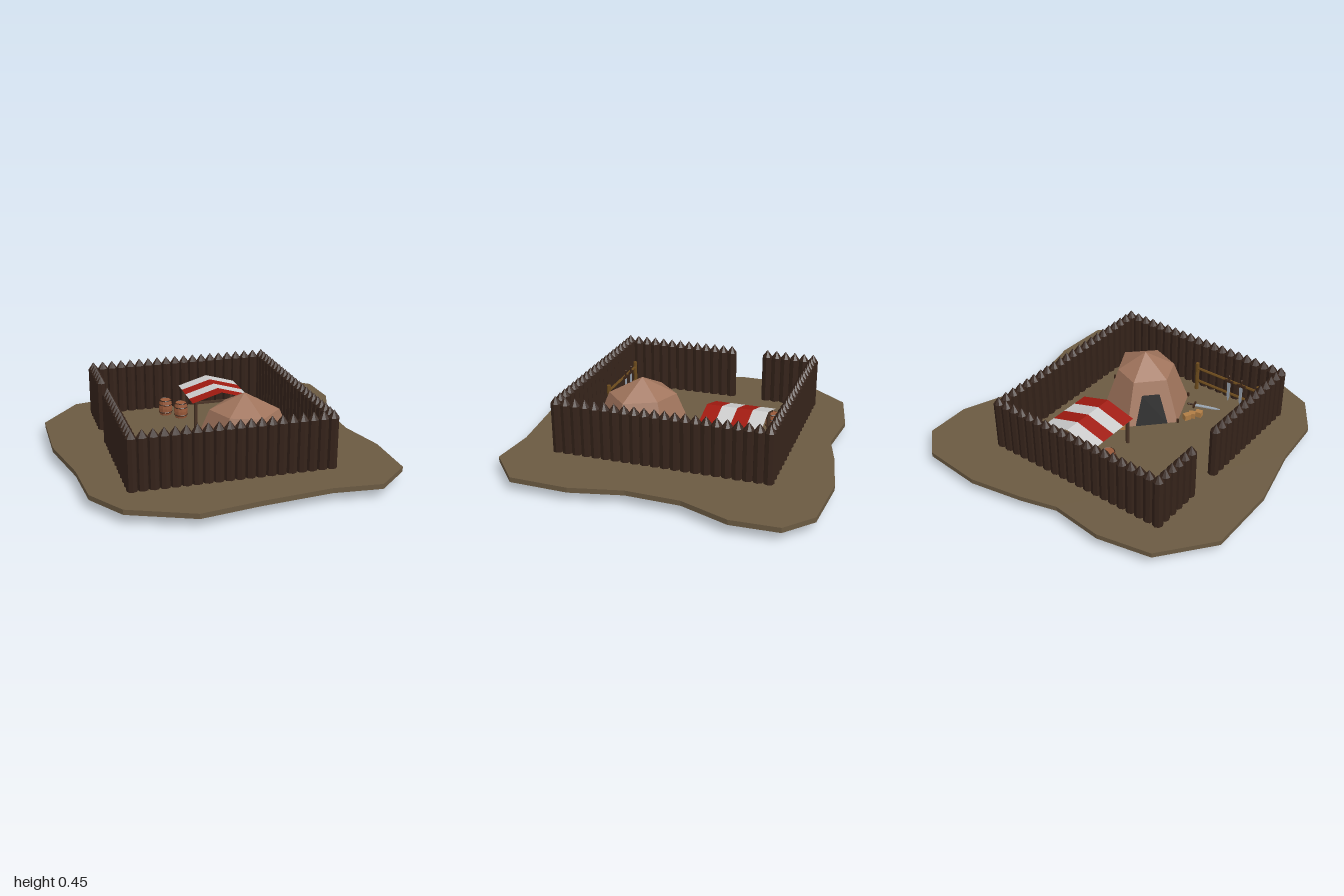
import * as THREE from 'three';

const mat = (color, side = THREE.FrontSide) => new THREE.MeshStandardMaterial({ color, side, flatShading: true });
const BARK = mat(0x35231a), EARTH = mat(0x6b5a42), HIDE = mat(0xa0745c, THREE.DoubleSide), DARK = mat(0x0a0a0a, THREE.DoubleSide);
const RED = mat(0xa01a10, THREE.DoubleSide), WHITE = mat(0xcccccc, THREE.DoubleSide), POLE = mat(0x4a3426);
const RACK = mat(0x6b4a1c), STEEL = mat(0x9aa4b0), CASK = mat(0x9a5a3a), HOOP = mat(0x3a2417), LOG = mat(0xb07d45);
const GROUND = 0.085;

function add(parent, name, geo, material, x = 0, y = 0, z = 0) {
  const m = new THREE.Mesh(geo, material);
  m.name = name;
  m.position.set(x, y, z);
  parent.add(m);
  return m;
}

function group(parent, name, x = 0, y = 0, z = 0, turn = 0) {
  const g = new THREE.Group();
  g.name = name;
  g.position.set(x, y, z);
  g.rotation.y = turn;
  parent.add(g);
  return g;
}

// Flat polygons, each a list of Vector3 corners, fanned into triangles
function polygons(list) {
  const pts = [];
  for (const p of list) for (let i = 1; i < p.length - 1; i++) pts.push(p[0], p[i], p[i + 1]);
  const geo = new THREE.BufferGeometry().setFromPoints(pts);
  geo.computeVertexNormals();
  return geo;
}

// Irregular slab of earth
function buildGround(parent) {
  const outline = [[-0.98, -0.55], [-0.74, -0.85], [-0.42, -0.915], [-0.105, -0.88], [0.115, -0.94], [0.44, -1], [0.81, -0.97],
    [0.97, -0.825], [0.98, -0.545], [0.87, -0.255], [0.86, 0.07], [0.93, 0.38], [0.92, 0.735], [0.71, 0.92], [0.42, 0.895],
    [-0.005, 0.94], [-0.355, 0.995], [-0.725, 0.84], [-0.87, 0.615], [-0.895, 0.29], [-0.98, -0.105]];
  const shape = new THREE.Shape(outline.map(([x, z]) => new THREE.Vector2(x, -z)));
  const geo = new THREE.ExtrudeGeometry(shape, { depth: 0.03, bevelEnabled: false });
  add(parent, 'ground', geo.rotateX(-Math.PI / 2), EARTH, 0, 0.055, 0);
}

// Wall of sharpened logs with a gate gap on the -x side
function buildPalisade(parent) {
  const wall = group(parent, 'palisade');
  const x0 = -0.635, x1 = 0.525, z0 = -0.65, z1 = 0.625, nx = 20, nz = 22;
  const tip = new THREE.ConeGeometry(0.032, 0.045, 8);
  const stake = (x, z, bottom) => {
    add(wall, 'stake', new THREE.CylinderGeometry(0.032, 0.032, 0.39 - bottom, 8, 1), BARK, x, (0.39 + bottom) / 2, z);
    add(wall, 'stakeTip', tip, BARK, x, 0.4125, z);
  };
  for (let i = 0; i < nx; i++) {
    const x = x0 + (x1 - x0) * i / (nx - 1);
    stake(x, z0, 0.06);
    stake(x, z1, 0.06);
  }
  for (let i = 1; i < nz - 1; i++) {
    const z = z0 + (z1 - z0) * i / (nz - 1);
    stake(x1, z, 0.06);
    if (i < 6 || i > 8) stake(x0, z, 0.052);
  }
}

// Six-sided hide tent with a dark doorway and corner pegs
function buildTent(parent) {
  const tent = group(parent, 'tent');
  const base = [[0.03, -0.06], [0.29, 0.035], [0.43, 0.32], [0.195, 0.55], [-0.08, 0.445], [-0.19, 0.17]]
    .map(([x, z]) => new THREE.Vector3(x, GROUND - 0.005, z));
  const apex = new THREE.Vector3(0.12, 0.45, 0.245);
  const ring = base.map(p => p.clone().lerp(apex, 0.35).setY(0.345));
  const walls = [], roof = [];
  base.forEach((p, i) => {
    const j = (i + 1) % 6;
    walls.push([p, ring[i], ring[j], base[j]]);
    roof.push([ring[i], apex, ring[j]]);
    add(tent, 'tentPeg', new THREE.CylinderGeometry(0.008, 0.008, 0.06, 6), HOOP, p.x, 0.08, p.z);
  });
  add(tent, 'tentWalls', polygons(walls), HIDE);
  add(tent, 'tentRoof', polygons(roof), HIDE);
  // point on the door wall: t across, s up
  const onWall = (t, s) => base[5].clone().lerp(base[0], t).lerp(ring[5].clone().lerp(ring[0], t), s);
  const door = [onWall(0.2, 0.02), onWall(0.28, 0.7), onWall(0.74, 0.7), onWall(0.84, 0.02)];
  add(tent, 'tentDoorway', polygons([door]), DARK, -0.004, 0.002, -0.004);
}

// Striped gable awning on four legs
function buildAwning(parent) {
  const awning = group(parent, 'awning');
  const ridgeX = 0.1, half = 0.19, eave = 0.262, ridge = 0.318, zBack = -0.535, step = 0.094;
  for (let i = 0; i < 4; i++) {
    const a = zBack + i * step, b = a + step;
    const faces = [-1, 1].map(s => {
      const row = [[ridgeX, ridge, a], [ridgeX, ridge, b], [ridgeX + s * half, eave, b], [ridgeX + s * half, eave, a]]
        .map(p => new THREE.Vector3(...p));
      return s > 0 ? row : row.reverse();
    });
    add(awning, 'awningStripe', polygons(faces), i % 2 ? RED : WHITE);
  }
  for (const x of [-0.065, 0.265]) {
    for (const z of [-0.5, -0.18]) add(awning, 'awningLeg', new THREE.CylinderGeometry(0.012, 0.012, 0.265, 8), POLE, x, 0.1325, z);
    add(awning, 'awningBeam', new THREE.BoxGeometry(0.014, 0.014, 0.36), POLE, x, 0.256, -0.345);
  }
  for (const z of [-0.5, -0.18]) add(awning, 'awningCrossbar', new THREE.BoxGeometry(0.34, 0.014, 0.014), POLE, ridgeX, 0.256, z);
}

// Bulging cask with dark hoops
function buildBarrel(parent, x, z) {
  const barrel = group(parent, 'barrel', x, GROUND - 0.01, z);
  const profile = [[0, 0], [0.036, 0], [0.043, 0.03], [0.045, 0.055], [0.043, 0.08], [0.037, 0.11], [0, 0.108]];
  add(barrel, 'cask', new THREE.LatheGeometry(profile.map(p => new THREE.Vector2(...p)), 10), CASK);
  for (const [y, r] of [[0.03, 0.043], [0.08, 0.043], [0.108, 0.037]]) {
    const hoop = add(barrel, 'hoop', new THREE.TorusGeometry(r, 0.004, 4, 10), HOOP, 0, y, 0);
    hoop.rotation.x = Math.PI / 2;
  }
}

// Sword pointing down -y, with its guard at the origin
function buildSword(parent, name, length) {
  const sword = group(parent, name);
  const s = new THREE.Shape([[-0.011, 0], [-0.009, -length * 0.75], [0, -length], [0.009, -length * 0.75], [0.011, 0]]
    .map(p => new THREE.Vector2(...p)));
  add(sword, 'blade', new THREE.ExtrudeGeometry(s, { depth: 0.006, bevelEnabled: false }), STEEL, 0, 0, -0.003);
  add(sword, 'guard', new THREE.BoxGeometry(0.06, 0.012, 0.014), HOOP);
  add(sword, 'grip', new THREE.CylinderGeometry(0.006, 0.006, 0.035, 6), HOOP, 0, 0.02, 0);
  add(sword, 'pommel', new THREE.IcosahedronGeometry(0.009), HOOP, 0, 0.04, 0);
  return sword;
}

// Two-rail rack with swords leaning on it
function buildRack(parent) {
  const rack = group(parent, 'weaponRack', -0.302, 0, 0.553);
  for (const s of [-1, 1]) add(rack, 'rackPost', new THREE.CylinderGeometry(0.013, 0.013, 0.205, 8), RACK, s * 0.228, 0.18, 0);
  for (const y of [0.15, 0.245]) {
    const rail = add(rack, 'rackRail', new THREE.CylinderGeometry(0.009, 0.009, 0.456, 6), RACK, 0, y, 0);
    rail.rotation.z = Math.PI / 2;
  }
  for (const x of [-0.113, -0.023]) buildSword(rack, 'rackSword', 0.15).position.set(x, 0.25, -0.014);
}

export function createModel() {
  const model = new THREE.Group();
  model.name = 'palisadeCamp';
  buildGround(model);
  buildPalisade(model);
  buildTent(model);
  buildAwning(model);
  buildBarrel(model, -0.19, -0.497);
  buildBarrel(model, -0.105, -0.415);
  buildRack(model);

  // Sword lying on the ground
  const fallen = buildSword(model, 'fallenSword', 0.17);
  fallen.rotation.set(-Math.PI / 2, 0, -1.25, 'YXZ');
  fallen.position.set(-0.175, GROUND + 0.008, 0.38);

  // Chopped wood piles
  for (const [x, z, turn] of [[0.04, -0.085, 0.6], [0.08, -0.078, -0.4], [0.115, -0.09, 0.3],
    [-0.215, 0.235, 1.1], [-0.23, 0.27, 0.5], [-0.257, 0.307, 0.2]]) {
    const log = add(model, 'choppedWood', new THREE.BoxGeometry(0.042, 0.036, 0.036), LOG, x, GROUND + 0.018, z);
    log.rotation.y = turn;
  }
  return model;
}
